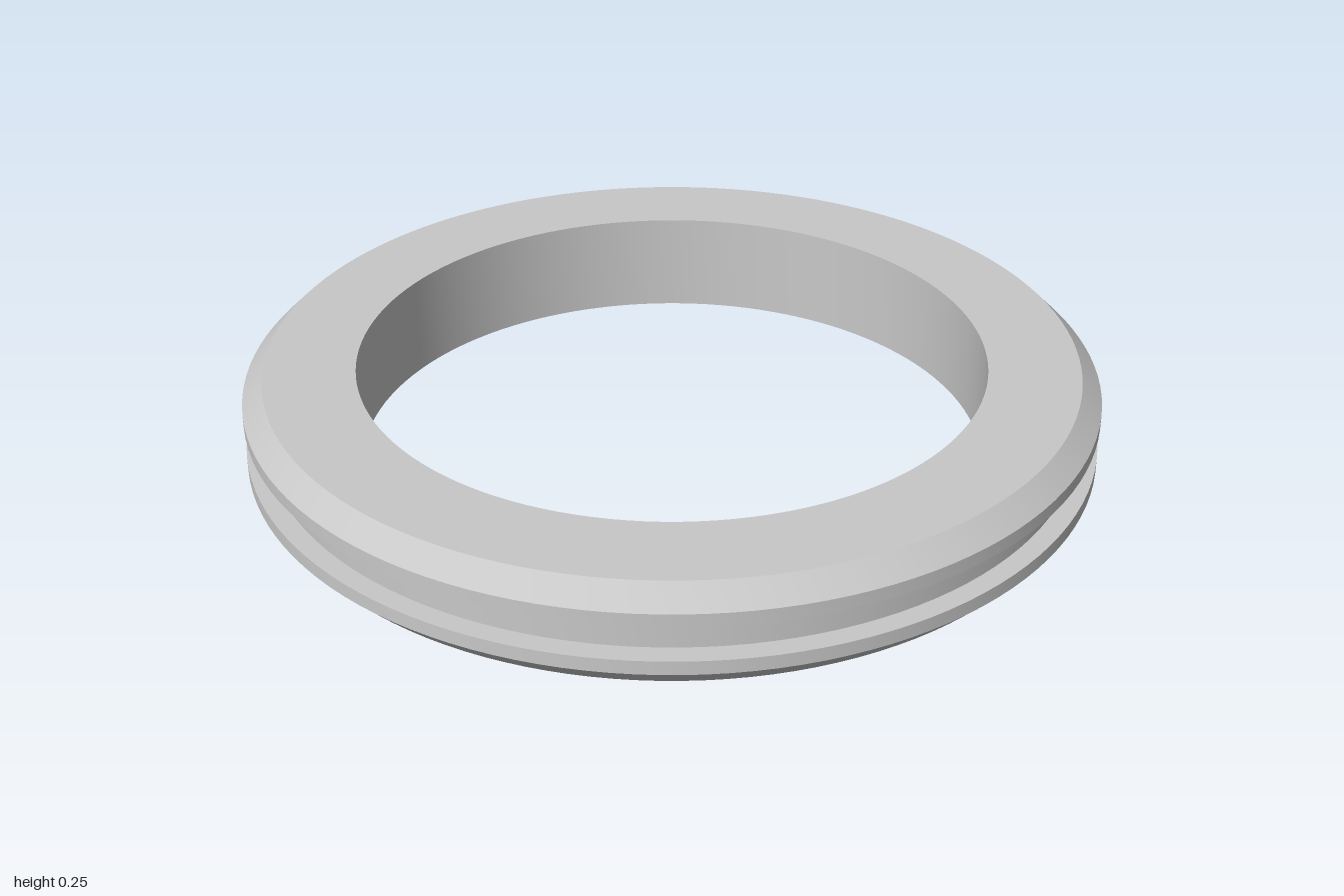
import * as THREE from 'three';
import { toCreasedNormals } from 'three/addons/utils/BufferGeometryUtils.js';

export function createModel() {
  const group = new THREE.Group();
  group.name = 'groovedRing';

  const grey = new THREE.MeshStandardMaterial({ color: 0xc8c8c8 });
  grey.name = 'plain grey';

  const inner = 0.737, groove = 0.952, outer = 1, height = 0.245;

  // Closed cross-section: chamfered rims with a square groove between them
  const profile = [
    [inner, 0], [groove, 0], [outer, 0.05], [outer, 0.083],
    [groove, 0.083], [groove, 0.165], [outer, 0.165], [outer, 0.197],
    [groove, height], [inner, height], [inner, 0],
  ].map(([r, y]) => new THREE.Vector2(r, y));

  // Smooth around the ring, sharp at the profile corners
  const geometry = toCreasedNormals(new THREE.LatheGeometry(profile, 128), 0.5);
  const ring = new THREE.Mesh(geometry, grey);
  ring.name = 'ring';
  group.add(ring);

  return group;
}
